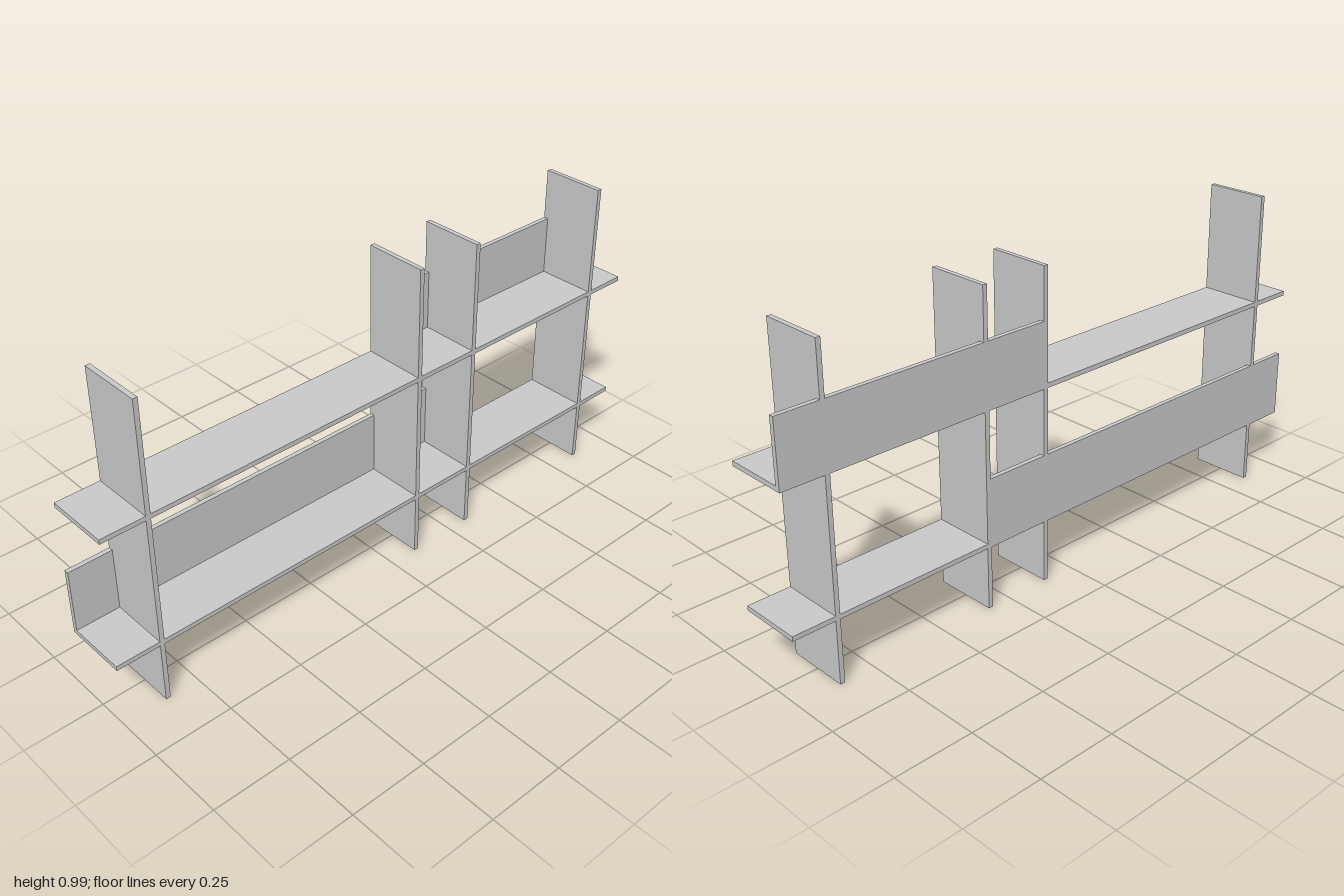
import * as THREE from 'three';

const T = 0.015;      // board thickness
const DEPTH = 0.204;  // shelf and upright depth
const HEIGHT = 0.993;

export function createModel() {
  const group = new THREE.Group();
  const material = new THREE.MeshStandardMaterial({ color: 0xcccccc });

  // Box board given by its lower and upper bounds on each axis
  function board(name, [x0, x1], [y0, y1], [z0, z1]) {
    const mesh = new THREE.Mesh(new THREE.BoxGeometry(x1 - x0, y1 - y0, z1 - z0), material);
    mesh.position.set((x0 + x1) / 2, (y0 + y1) / 2, (z0 + z1) / 2);
    mesh.name = name;
    group.add(mesh);
  }

  const back = -DEPTH / 2;
  const fullDepth = [back, DEPTH / 2];

  // Vertical dividers
  const uprights = [-0.853, 0.101, 0.324, 0.857];
  uprights.forEach((x, i) =>
    board(`upright${i + 1}`, [x - T / 2, x + T / 2], [0, HEIGHT], fullDepth));

  // Long horizontal shelves
  const lowerY = 0.199, upperY = 0.626;
  board('lowerShelf', [-1, 1], [lowerY, lowerY + T], fullDepth);
  board('upperShelf', [-1, 1], [upperY, upperY + T], fullDepth);

  // Back panels standing on the shelves, flush with the rear edge
  const panelDepth = [back, back + T];
  board('lowerBackPanel', [-1, uprights[2] + T / 2], [lowerY + T, 0.417], panelDepth);
  board('upperBackPanel', [uprights[1] - T / 2, 1], [upperY + T, 0.831], panelDepth);

  return group;
}
